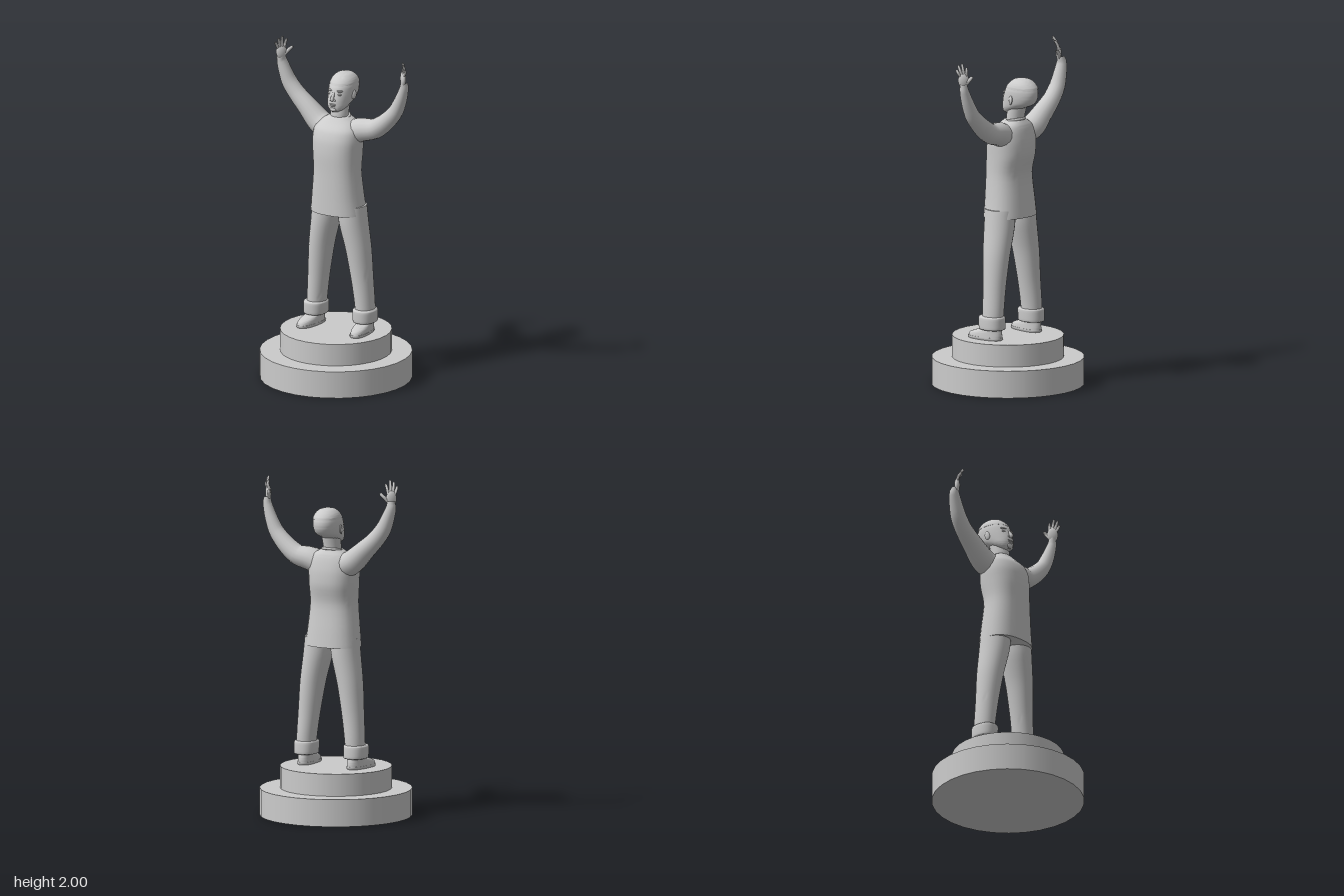
import * as THREE from 'three';
import { toCreasedNormals } from 'three/addons/utils/BufferGeometryUtils.js';

const V = (p) => new THREE.Vector3(...p);
const smooth = (pts) => new THREE.CatmullRomCurve3(pts, false, 'catmullrom', 0.4);

export function createModel() {
  const group = new THREE.Group();
  const material = new THREE.MeshStandardMaterial({ color: 0xcccccc });

  function add(name, geometry, position, parent = group) {
    const mesh = new THREE.Mesh(geometry, material);
    mesh.name = name;
    if (position) mesh.position.set(...position);
    parent.add(mesh);
    return mesh;
  }

  // Closed skin over level oval rings, bottom to top: [x, y, z, rx, rz]
  function loft(rows, power = 2, steps = 4, seg = 28) {
    const centres = smooth(rows.map((r) => V(r.slice(0, 3))));
    const radii = smooth(rows.map((r) => V([r[3], r[4], 0])));
    const n = (rows.length - 1) * steps;
    const pos = [], idx = [];
    const bend = (v) => Math.sign(v) * Math.abs(v) ** (2 / power);
    for (let i = 0; i <= n; i++) {
      const c = centres.getPoint(i / n), r = radii.getPoint(i / n);
      for (let j = 0; j < seg; j++) {
        const a = (j / seg) * Math.PI * 2;
        pos.push(c.x + r.x * bend(Math.cos(a)), c.y, c.z + r.y * bend(Math.sin(a)));
      }
    }
    const bottom = pos.length / 3, top = bottom + 1;
    pos.push(...rows[0].slice(0, 3), ...rows[rows.length - 1].slice(0, 3));
    for (let j = 0; j < seg; j++) {
      const k = (j + 1) % seg;
      for (let i = 0; i < n; i++) {
        const a = i * seg + j, b = i * seg + k;
        idx.push(a, a + seg, b, b, a + seg, b + seg);
      }
      idx.push(bottom, j, k, top, n * seg + k, n * seg + j);
    }
    const g = new THREE.BufferGeometry();
    g.setAttribute('position', new THREE.Float32BufferAttribute(pos, 3));
    g.setIndex(idx);
    return toCreasedNormals(g, 0.9);
  }

  // Tapered tube through points: [x, y, z, radius]
  function limb(rows, steps = 24, seg = 16) {
    const path = smooth(rows.map((r) => V(r.slice(0, 3))));
    const radii = smooth(rows.map((r) => V([r[3], 0, 0])));
    const g = new THREE.TubeGeometry(path, steps, 1, seg);
    const p = g.attributes.position, v = new THREE.Vector3();
    for (let i = 0; i < p.count; i++) {
      const u = Math.floor(i / (seg + 1)) / steps;
      const c = path.getPointAt(u), r = radii.getPoint(path.getUtoTmapping(u)).x;
      v.fromBufferAttribute(p, i).sub(c).multiplyScalar(r).add(c);
      p.setXYZ(i, v.x, v.y, v.z);
    }
    return g;
  }

  function blob(name, position, size, parent) {
    const mesh = add(name, new THREE.SphereGeometry(1, 20, 14), position, parent);
    mesh.scale.set(...size);
    return mesh;
  }

  // Two-step round plinth
  add('lowerPlinth', new THREE.CylinderGeometry(0.443, 0.443, 0.16, 30), [-0.013, 0.08, 0]);
  add('upperPlinth', new THREE.CylinderGeometry(0.325, 0.325, 0.13, 30), [-0.013, 0.225, 0]);

  // Long shirt with a straight hem
  add('shirt', loft([
    [-0.008, 1.0, -0.022, 0.168, 0.127],
    [-0.01, 1.1, -0.018, 0.156, 0.122],
    [-0.01, 1.25, -0.012, 0.142, 0.115],
    [-0.014, 1.36, -0.022, 0.146, 0.126],
    [-0.016, 1.44, -0.026, 0.15, 0.122],
    [-0.016, 1.5, -0.032, 0.142, 0.106],
    [-0.016, 1.54, -0.046, 0.112, 0.08],
    [-0.018, 1.57, -0.05, 0.062, 0.058],
  ], 2.35));
  const collar = add('collar', new THREE.TorusGeometry(0.058, 0.008, 8, 28), [-0.018, 1.566, -0.048]);
  collar.rotation.x = Math.PI / 2 + 0.2;

  // Trouser legs, rolled cuffs and shoes
  for (const s of [1, -1]) {
    const side = s > 0 ? 'left' : 'right';
    const o = s > 0 ? 0 : -0.008;
    add(side + 'Leg', loft([
      [s * 0.163 + o, 0.36, -0.042, 0.055, 0.062],
      [s * 0.158 + o, 0.46, -0.042, 0.058, 0.066],
      [s * 0.144 + o, 0.6, -0.038, 0.064, 0.07],
      [s * 0.122 + o, 0.78, -0.033, 0.074, 0.083],
      [s * 0.092 + o, 0.94, -0.028, 0.084, 0.094],
      [s * 0.08 + o, 1.05, -0.026, 0.084, 0.095],
    ]));
    add(side + 'Cuff', loft([
      [s * 0.164 + o, 0.352, -0.038, 0.06, 0.074],
      [s * 0.164 + o, 0.36, -0.038, 0.066, 0.08],
      [s * 0.163 + o, 0.42, -0.036, 0.067, 0.08],
      [s * 0.162 + o, 0.43, -0.036, 0.06, 0.073],
    ], 2.3));
    const shoe = new THREE.Group();
    shoe.name = side + 'Shoe';
    shoe.position.set(s * 0.17 + o, 0, 0);
    shoe.rotation.y = s * 0.1;
    group.add(shoe);
    add(side + 'Sole', loft([
      [0, 0.29, 0.008, 0.046, 0.112],
      [0, 0.296, 0.008, 0.049, 0.116],
      [0, 0.306, 0.008, 0.049, 0.116],
    ], 2.5), null, shoe);
    add(side + 'ShoeUpper', loft([
      [0, 0.304, 0.008, 0.048, 0.114],
      [0, 0.325, 0.002, 0.046, 0.108],
      [0, 0.343, -0.02, 0.043, 0.082],
      [0, 0.354, -0.038, 0.042, 0.062],
      [0, 0.39, -0.04, 0.042, 0.056],
    ], 2.3), null, shoe);
  }

  // Raised arms
  add('rightArm', limb([
    [-0.06, 1.46, -0.04, 0.07], [-0.16, 1.505, -0.058, 0.072], [-0.245, 1.58, -0.063, 0.06],
    [-0.32, 1.65, -0.064, 0.051], [-0.373, 1.722, -0.06, 0.046],
    [-0.415, 1.835, -0.052, 0.032], [-0.413, 1.88, -0.046, 0.022],
  ]));
  add('leftArm', limb([
    [0.03, 1.46, -0.04, 0.07], [0.12, 1.5, -0.055, 0.07], [0.21, 1.518, -0.064, 0.06],
    [0.285, 1.57, -0.064, 0.053], [0.352, 1.64, -0.06, 0.045],
    [0.392, 1.72, -0.057, 0.037], [0.419, 1.8, -0.053, 0.027], [0.421, 1.84, -0.05, 0.02],
  ]));

  // Open hands: palm, then fingers from thumb to little finger
  function hand(side, palm, turn, tips) {
    const h = new THREE.Group();
    h.name = side + 'Hand';
    group.add(h);
    blob(side + 'Palm', palm, [0.032, 0.046, 0.016], h).rotation.y = turn;
    const across = V([-Math.sign(palm[0]), 0, -1]).normalize();
    const facing = V([-Math.sign(palm[0]), 0, 1]).normalize();
    tips.forEach((tip, i) => {
      const thumb = i === 0;
      const root = V(palm).addScaledVector(across, thumb ? 0.016 : 0.03 - i * 0.0125);
      root.y += thumb ? -0.02 : 0.024;
      const end = V(tip);
      const mid = root.clone().lerp(end, 0.55).addScaledVector(facing, -0.006);
      const r = thumb ? 0.011 : 0.0088;
      add(side + (thumb ? 'Thumb' : 'Finger' + i), limb([
        [...root, r], [...mid, r * 0.95],
        [...mid.clone().lerp(end, 0.85), r * 0.75], [...end, 0.0008],
      ], 12, 10), null, h);
    });
  }
  hand('right', [-0.409, 1.895, -0.036], Math.PI / 4, [
    [-0.35, 1.928, -0.07], [-0.37, 1.98, -0.035], [-0.384, 2.0, -0.008],
    [-0.4, 1.988, 0.008], [-0.42, 1.962, 0.012],
  ]);
  hand('left', [0.417, 1.862, -0.046], -Math.PI / 4, [
    [0.382, 1.885, -0.085], [0.407, 1.94, -0.06], [0.42, 1.962, -0.035],
    [0.434, 1.952, -0.018], [0.445, 1.925, -0.014],
  ]);

  // Neck and head
  add('neck', limb([
    [-0.018, 1.53, -0.055, 0.06], [-0.02, 1.58, -0.052, 0.053], [-0.02, 1.67, -0.07, 0.056],
  ], 12, 20));
  add('head', loft([
    [-0.02, 1.604, -0.005, 0.022, 0.024],
    [-0.02, 1.618, -0.02, 0.046, 0.046],
    [-0.02, 1.64, -0.042, 0.061, 0.072],
    [-0.02, 1.67, -0.078, 0.071, 0.107],
    [-0.02, 1.71, -0.095, 0.077, 0.113],
    [-0.02, 1.75, -0.102, 0.077, 0.105],
    [-0.02, 1.785, -0.107, 0.066, 0.082],
    [-0.02, 1.807, -0.107, 0.043, 0.052],
    [-0.02, 1.817, -0.107, 0.008, 0.01],
  ], 2.1));
  add('hair', loft([
    [-0.02, 1.758, -0.105, 0.077, 0.104],
    [-0.02, 1.768, -0.106, 0.076, 0.1],
    [-0.02, 1.79, -0.107, 0.066, 0.081],
    [-0.02, 1.811, -0.107, 0.043, 0.052],
    [-0.02, 1.821, -0.107, 0.007, 0.009],
  ], 2.1));

  // Face
  add('nose', limb([
    [-0.02, 1.728, 0.004, 0.006], [-0.02, 1.7, 0.024, 0.009],
    [-0.02, 1.682, 0.033, 0.012], [-0.02, 1.672, 0.026, 0.001],
  ], 14, 12));
  blob('upperLip', [-0.02, 1.653, 0.027], [0.022, 0.005, 0.008]);
  blob('lowerLip', [-0.02, 1.644, 0.027], [0.018, 0.006, 0.008]);
  blob('chin', [-0.02, 1.621, 0.02], [0.022, 0.014, 0.014]);
  for (const s of [1, -1]) {
    const side = s > 0 ? 'left' : 'right';
    blob(side + 'Nostril', [-0.02 + s * 0.011, 1.677, 0.022], [0.008, 0.007, 0.01]);
    blob(side + 'Eye', [-0.02 + s * 0.032, 1.71, 0.004], [0.014, 0.006, 0.009]);
    blob(side + 'Brow', [-0.02 + s * 0.032, 1.73, 0.0], [0.02, 0.006, 0.009]).rotation.y = s * 0.35;
    const ear = blob(side + 'Ear', [-0.02 + s * 0.077, 1.695, -0.085], [0.008, 0.027, 0.017]);
    ear.rotation.set(-0.15, -s * 0.35, 0);
  }
  return group;
}
